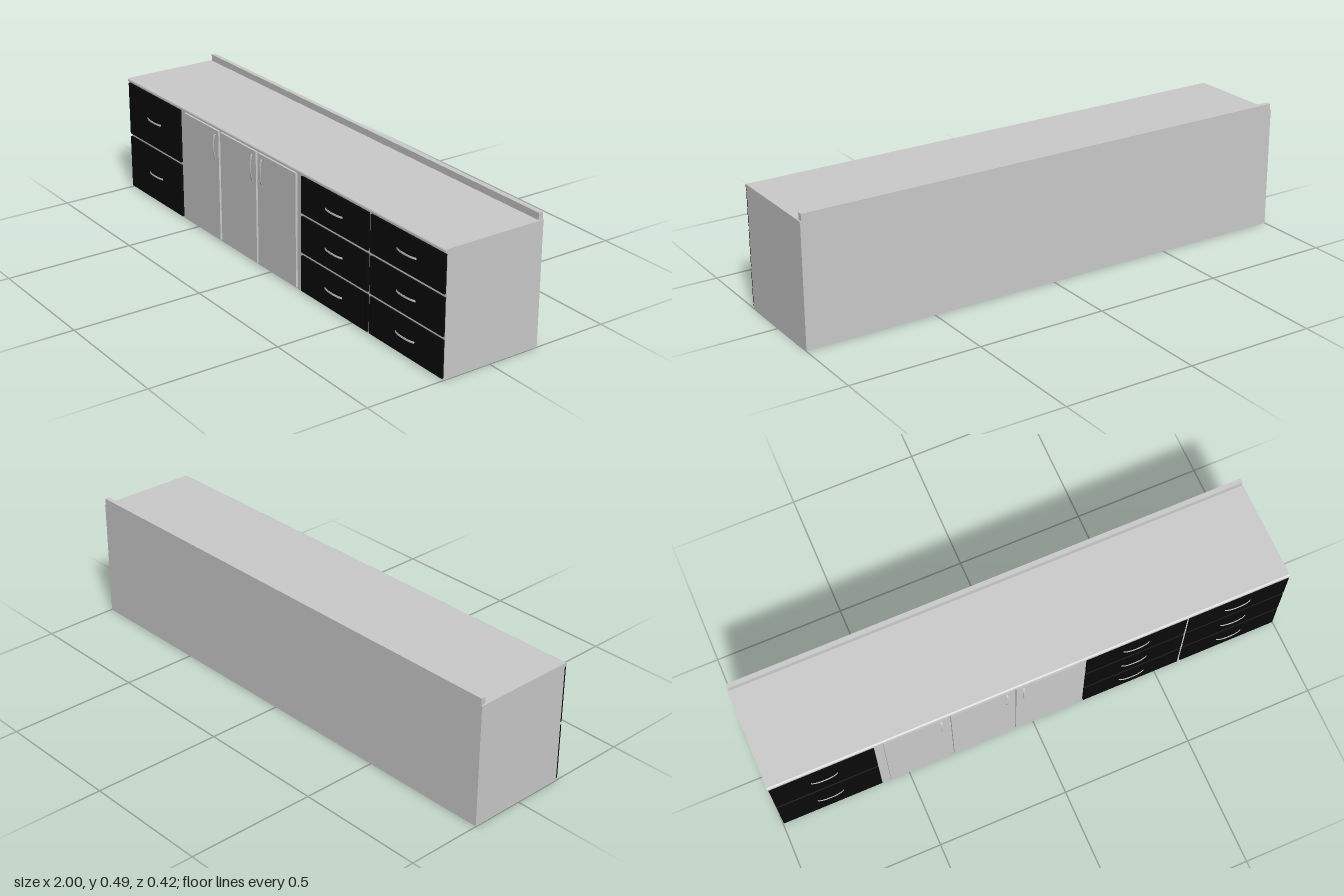
import * as THREE from 'three';

const grey = new THREE.MeshStandardMaterial({ color: 0xcccccc });
const black = new THREE.MeshStandardMaterial({ color: 0x0a0a0a });

const FACE = 0.192; // front of the carcass
const FRONT = 0.2; // front of drawers and doors
const BACK = -0.207;

// Box given by its limits on each axis
function box(name, [x0, x1], [y0, y1], [z0, z1], material = grey) {
  const mesh = new THREE.Mesh(new THREE.BoxGeometry(x1 - x0, y1 - y0, z1 - z0), material);
  mesh.position.set((x0 + x1) / 2, (y0 + y1) / 2, (z0 + z1) / 2);
  mesh.name = name;
  return mesh;
}

// Bowed flat strip, 0.1 long, lying along x and bulging towards +z
function handleGeometry() {
  const width = 0.007, half = 0.052;
  const arc = (reach, rise) => new THREE.CubicBezierCurve(
    new THREE.Vector2(-reach, 0), new THREE.Vector2(-reach * 0.8, rise),
    new THREE.Vector2(reach * 0.8, rise), new THREE.Vector2(reach, 0)).getPoints(16);
  const shape = new THREE.Shape([...arc(half, 0.0127), ...arc(half - 0.003, 0.0102).reverse()]);
  const geometry = new THREE.ExtrudeGeometry(shape, { depth: width, bevelEnabled: false });
  geometry.translate(0, 0, -width / 2);
  geometry.rotateX(Math.PI / 2);
  return geometry;
}

export function createModel() {
  const model = new THREE.Group();
  model.name = 'kitchenCounter';
  const strip = handleGeometry();

  function addHandle(name, x, y, upright) {
    const handle = new THREE.Mesh(strip, grey);
    handle.name = name;
    handle.position.set(x, y, FRONT - 0.0005);
    if (upright) handle.rotation.z = Math.PI / 2;
    model.add(handle);
  }

  model.add(box('carcass', [-0.999, 0.999], [0, 0.454], [BACK, FACE]));

  // Worktop with a rounded front edge, profile drawn in (z, y)
  const r = 0.008;
  const profile = new THREE.Shape();
  profile.moveTo(BACK, 0.453);
  profile.lineTo(FRONT, 0.453);
  profile.lineTo(FRONT, 0.466 - r);
  profile.absarc(FRONT - r, 0.466 - r, r, 0, Math.PI / 2, false);
  profile.lineTo(BACK, 0.466);
  const topGeometry = new THREE.ExtrudeGeometry(profile, { depth: 2, bevelEnabled: false, curveSegments: 6 });
  topGeometry.translate(0, 0, -1);
  topGeometry.rotateY(-Math.PI / 2);
  const worktop = new THREE.Mesh(topGeometry, grey);
  worktop.name = 'worktop';
  model.add(worktop);

  model.add(box('backsplash', [-0.995, 0.995], [0.465, 0.492], [BACK, -0.189]));

  // Drawer columns: centre x and number of drawers
  const low = 0.007, high = 0.447, gap = 0.013;
  for (const [x, count] of [[-0.802, 2], [0.4, 3], [0.802, 3]]) {
    const height = (high - low - gap * (count - 1)) / count;
    for (let i = 0; i < count; i++) {
      const y = low + i * (height + gap);
      model.add(box('drawerFront', [x - 0.195, x + 0.195], [y, y + height], [FACE, FRONT], black));
      addHandle('drawerHandle', x, y + height / 2, false);
    }
  }

  // Doors: left limit, right limit, handle x
  for (const [x0, x1, hx] of [[-0.572, -0.331, -0.355], [-0.318, -0.08, -0.105], [-0.069, 0.172, -0.042]]) {
    model.add(box('door', [x0, x1], [low, high], [FACE, FRONT]));
    addHandle('doorHandle', hx, 0.378, true);
  }
  return model;
}
